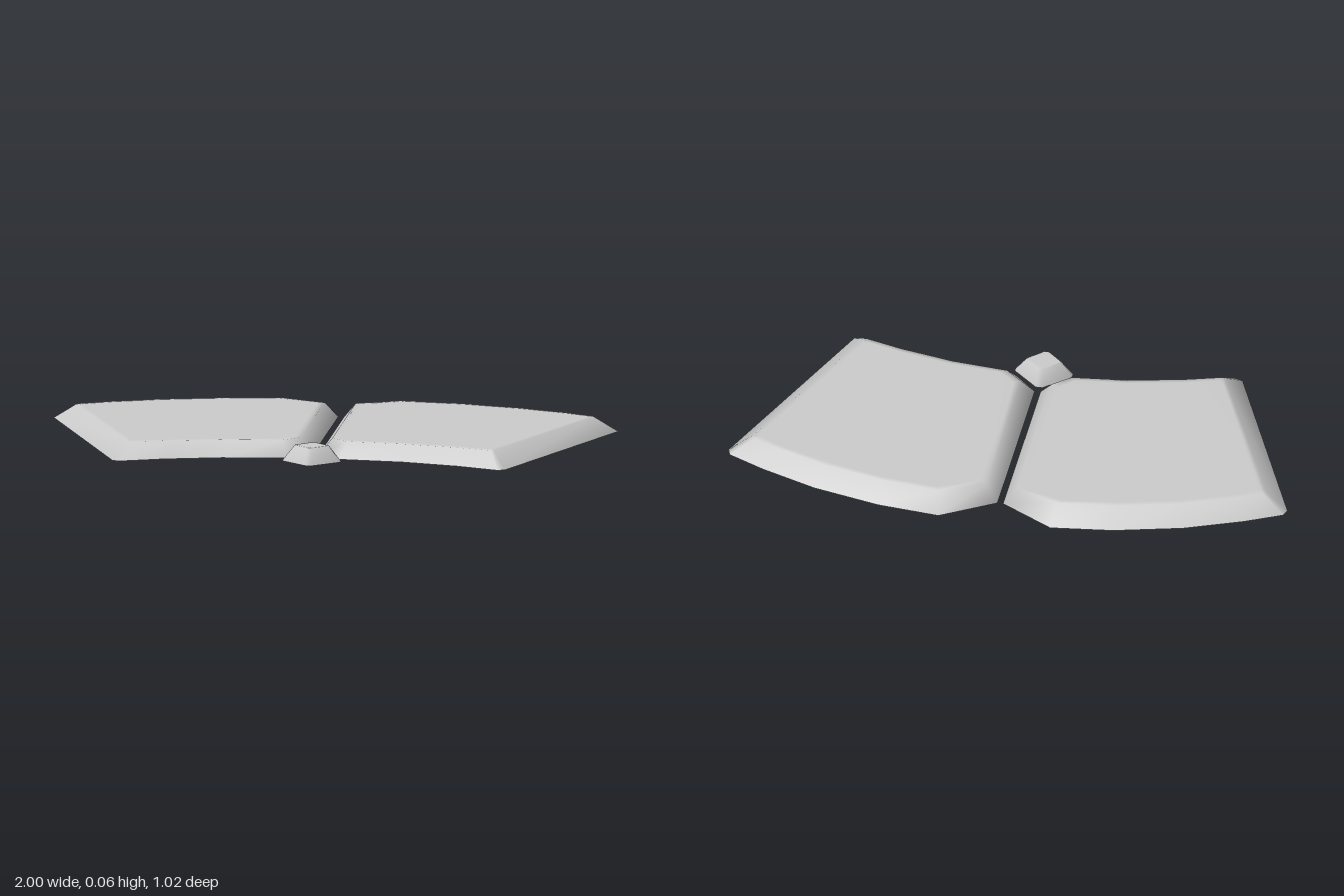
import * as THREE from 'three';

const HEIGHT = 0.06;

// Tile outline, clockwise from above: base x, base z, top x, top z
const TILE = [
  [0.01, -0.4, 0.055, -0.37],
  [0.2, -0.515, 0.21, -0.44],
  [0.42, -0.49, 0.42, -0.415],
  [0.66, -0.43, 0.64, -0.36],
  [0.86, -0.35, 0.81, -0.295],
  [0.99, -0.285, 0.91, -0.245],
  [1.0, -0.255, 0.918, -0.23],
  [0.695, 0.5, 0.648, 0.425],
  [0.67, 0.51, 0.638, 0.43],
  [0.52, 0.452, 0.5, 0.39],
  [0.32, 0.402, 0.31, 0.35],
  [0.09, 0.38, 0.115, 0.33],
  [0.01, 0.3, 0.055, 0.275],
];

// Small diamond stone with blunt tips
const DIAMOND = [
  [-0.012, 0.325, -0.008, 0.36],
  [0.012, 0.325, 0.008, 0.36],
  [0.103, 0.41, 0.06, 0.41],
  [0.103, 0.428, 0.06, 0.42],
  [0.012, 0.508, 0.008, 0.47],
  [-0.012, 0.508, -0.008, 0.47],
  [-0.103, 0.428, -0.06, 0.42],
  [-0.103, 0.41, -0.06, 0.41],
];

// Mirror across x and reverse, keeping the clockwise order
const mirror = (pts) => pts.map(([x, z, tx, tz]) => [-x, z, -tx, tz]).reverse();

// Bevelled slab: stacked rings joined by strips and closed by two caps
function slab(pts, margin) {
  const n = pts.length;
  const cx = pts.reduce((s, p) => s + p[0], 0) / n;
  const cz = pts.reduce((s, p) => s + p[1], 0) / n;
  const inset = (x, z, k) => [cx + (x - cx) * k, cz + (z - cz) * k];
  const rings = [
    { y: 0, at: pts.map((p) => inset(p[0], p[1], 1 - margin)) },
    { y: 0.004, at: pts.map((p) => [p[0], p[1]]) },
    { y: HEIGHT - 0.001, at: pts.map((p) => [p[2], p[3]]) },
    { y: HEIGHT, at: pts.map((p) => inset(p[2], p[3], 1 - margin)) },
  ];
  const positions = [];
  const index = [];
  for (const { y, at } of rings) for (const [x, z] of at) positions.push(x, y, z);

  for (let r = 0; r < rings.length - 1; r++) {
    for (let i = 0; i < n; i++) {
      const j = (i + 1) % n;
      const a = r * n + i, b = r * n + j;
      index.push(b, a, a + n, b, a + n, b + n);
    }
  }

  // Caps, with each triangle turned to face up or down
  const cap = (r, up) => {
    const flat = rings[r].at.map(([x, z]) => new THREE.Vector2(x, z));
    for (const [a, b, c] of THREE.ShapeUtils.triangulateShape(flat, [])) {
      const area = THREE.ShapeUtils.area([flat[a], flat[b], flat[c]]);
      const o = r * n;
      if ((area < 0) === up) index.push(o + a, o + b, o + c);
      else index.push(o + a, o + c, o + b);
    }
  };
  cap(0, false);
  cap(3, true);

  const geometry = new THREE.BufferGeometry();
  geometry.setAttribute('position', new THREE.Float32BufferAttribute(positions, 3));
  geometry.setIndex(index);
  geometry.computeVertexNormals();
  return geometry;
}

export function createModel() {
  const group = new THREE.Group();
  group.name = 'pavingStones';
  const material = new THREE.MeshStandardMaterial({ color: 0xcccccc });
  const add = (name, pts, margin) => {
    const mesh = new THREE.Mesh(slab(pts, margin), material);
    mesh.name = name;
    group.add(mesh);
  };
  add('leftTile', TILE, 0.05);
  add('rightTile', mirror(TILE), 0.05);
  add('diamondStone', DIAMOND, 0.12);
  return group;
}
